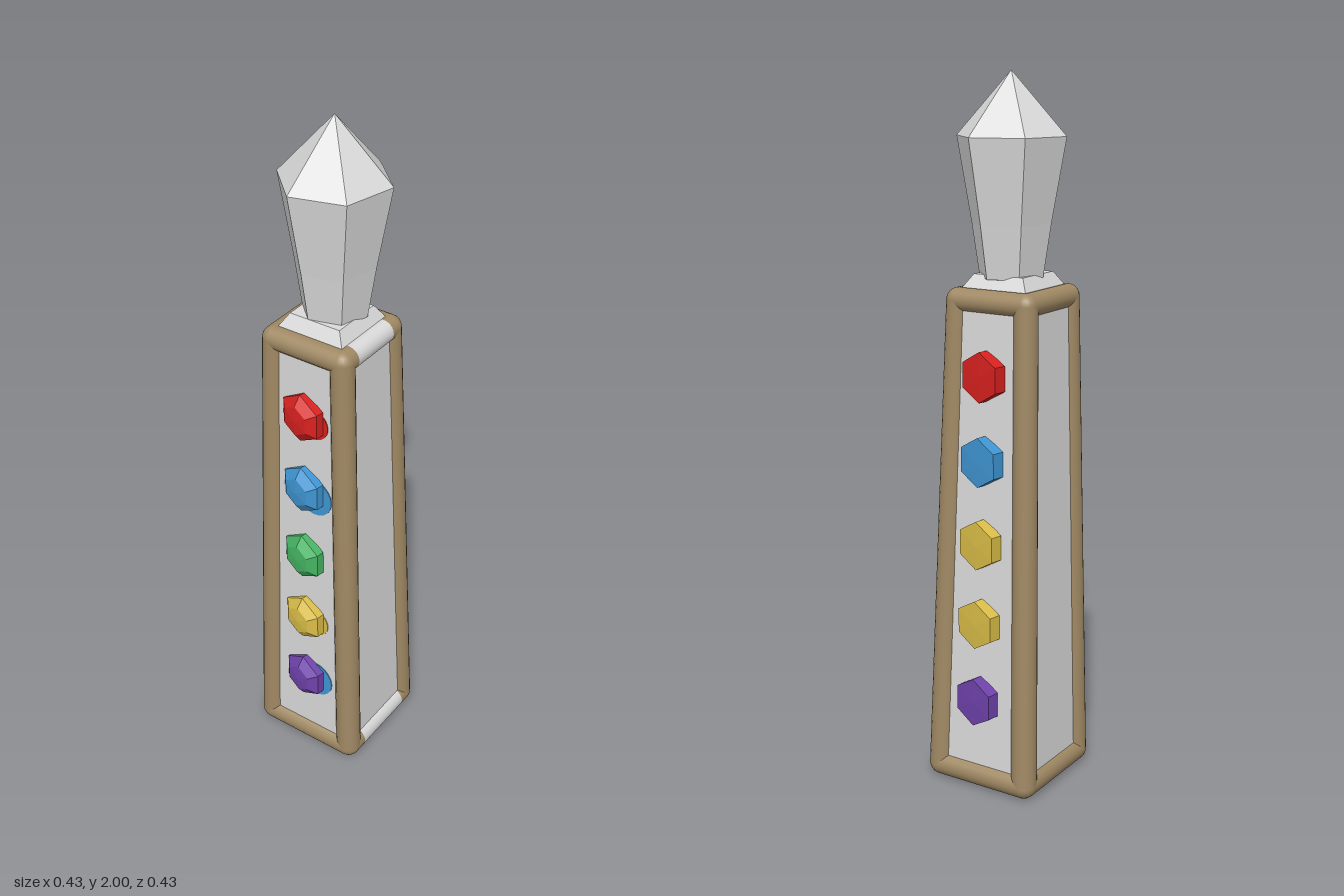
import * as THREE from 'three';

const mat = (name, color) => {
  const m = new THREE.MeshStandardMaterial({ color });
  m.name = name;
  return m;
};

// faceted normals baked into the geometry
const faceted = (g) => {
  const f = g.index ? g.toNonIndexed() : g;
  f.computeVertexNormals();
  return f;
};

const lathe6 = (pts, phi = 0) =>
  faceted(new THREE.LatheGeometry(pts.map(([r, y]) => new THREE.Vector2(r, y)), 6, phi));

export function createModel() {
  const white = mat('pale stone', 0xdadada);
  const tan = mat('tan trim', 0xa08964);
  const red = mat('red gem', 0xd8211f);
  const blue = mat('blue gem', 0x3f95d2);
  const green = mat('green gem', 0x45b463);
  const yellow = mat('yellow gem', 0xdabd48);
  const purple = mat('purple gem', 0x6f42ab);

  const model = new THREE.Group();
  model.name = 'gemObelisk';
  const tower = new THREE.Group();
  tower.name = 'tower';
  tower.rotation.y = -0.35;
  model.add(tower);

  const add = (parent, name, geo, material) => {
    const m = new THREE.Mesh(geo, material);
    m.name = name;
    parent.add(m);
    return m;
  };

  // taper and slight forward lean of the tower
  const yLow = 0.038, yHigh = 1.397;
  const at = (y) => {
    const t = (y - yLow) / (yHigh - yLow);
    return { half: 0.14 - 0.032 * t, r: 0.037 - 0.004 * t, cx: -0.004 * t, cz: 0.0175 * t };
  };
  const corner = (sx, sz, y) => {
    const a = at(y);
    return new THREE.Vector3(a.cx + sx * a.half, y, a.cz + sz * a.half);
  };

  // four-sided block with separate half widths at bottom and top
  const block = (y0, y1, h0, h1) => {
    const g = new THREE.BoxGeometry(2, 1, 2);
    const p = g.attributes.position;
    for (let i = 0; i < p.count; i++) {
      const up = p.getY(i) > 0, y = up ? y1 : y0, h = up ? h1 : h0, a = at(y);
      p.setXYZ(i, a.cx + p.getX(i) * h, y, a.cz + p.getZ(i) * h);
    }
    return faceted(g);
  };
  const inset = 0.018;
  add(tower, 'core', block(yLow, yHigh, 0.14 + inset, 0.108 + inset), white);
  add(tower, 'cap', block(1.395, 1.465, 0.122, 0.078), white);

  // rounded frame bars
  const bar = (name, a, b, ra, rb, material) => {
    const d = b.clone().sub(a);
    const m = add(tower, name, new THREE.CylinderGeometry(rb, ra, d.length(), 20, 1, true), material);
    m.position.copy(a).addScaledVector(d, 0.5);
    m.quaternion.setFromUnitVectors(new THREE.Vector3(0, 1, 0), d.normalize());
  };
  const ring = [[-1, 1], [1, 1], [1, -1], [-1, -1]];
  ring.forEach(([sx, sz], i) => {
    const [nx, nz] = ring[(i + 1) % 4];
    bar('cornerPost', corner(sx, sz, yLow), corner(sx, sz, yHigh), at(yLow).r, at(yHigh).r, tan);
    for (const y of [yLow, yHigh]) {
      const a = corner(sx, sz, y), b = corner(nx, nz, y), r = at(y).r;
      add(tower, 'cornerKnob', new THREE.SphereGeometry(r, 20, 12), tan).position.copy(a);
      if (i === 1) {
        // one side has a pale middle stretch
        const p = a.clone().lerp(b, 0.13), q = a.clone().lerp(b, 0.87);
        bar('sideRailEnd', a, p, r, r, tan);
        bar('sideRailMiddle', p, q, r, r, white);
        bar('sideRailEnd', q, b, r, r, tan);
      } else bar('rail', a, b, r, r, tan);
    }
  });

  // gems on front and back
  const heights = [1.2, 0.965, 0.73, 0.5, 0.27];
  const cutGem = lathe6([[0.072, 0], [0.073, 0.024], [0.045, 0.044], [0, 0.048]]).rotateX(Math.PI / 2);
  const slabGem = lathe6([[0.07, 0], [0.07, 0.038], [0, 0.04]]).rotateX(Math.PI / 2);
  const rows = [
    { side: 1, name: 'frontGem', geo: cutGem, colors: [red, blue, green, yellow, purple] },
    { side: -1, name: 'backGem', geo: slabGem, colors: [red, blue, yellow, yellow, purple] },
  ];
  for (const { side, name, geo, colors } of rows) {
    heights.forEach((y, i) => {
      const a = at(y);
      const gem = add(tower, name, geo, colors[i]);
      gem.position.set(a.cx, y, a.cz + side * (a.half + inset - 0.008));
      gem.rotation.y = (side > 0 ? 0 : Math.PI) - 0.18;
    });
  }

  // thin tinted patches beside some front gems
  const patches = [[1.185, red, 0.046], [0.945, blue, 0.058], [0.49, yellow, 0.046], [0.265, blue, 0.06]];
  for (const [y, material, r] of patches) {
    const a = at(y);
    const g = new THREE.CylinderGeometry(r, r, 0.005, 20).rotateX(Math.PI / 2);
    const m = add(tower, 'tintPatch', g, material);
    m.position.set(a.cx + 0.03, y, a.cz + a.half + inset);
    m.rotation.x = -0.011;
  }

  // six-sided crystal on top
  const crystal = add(model, 'crystal',
    lathe6([[0, 1.44], [0.09, 1.455], [0.112, 1.6], [0.153, 1.83], [0, 2]], 1.5), white);
  crystal.position.set(-0.005, 0, 0.007);

  return model;
}
